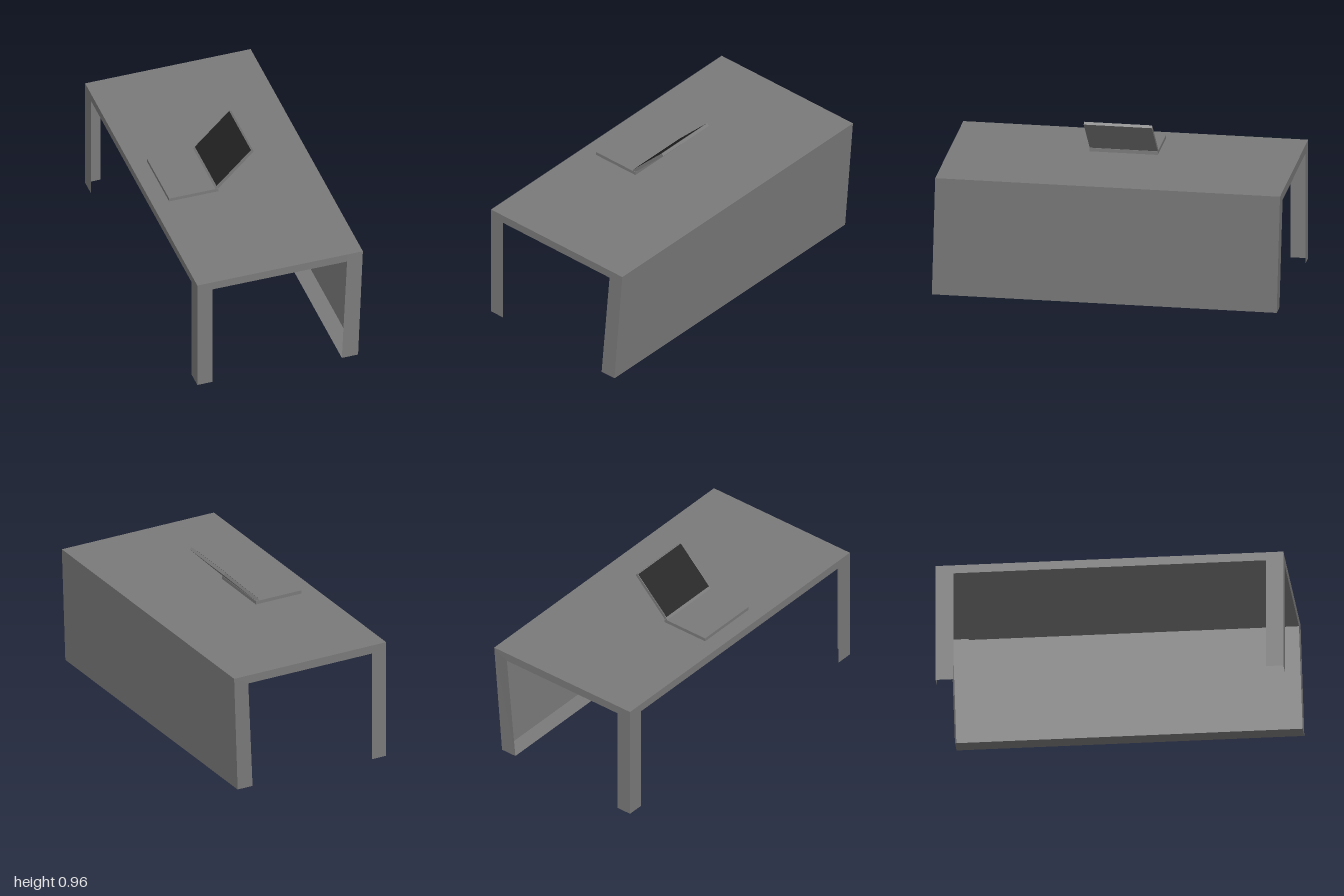
import * as THREE from 'three';

const grey = new THREE.MeshStandardMaterial({ color: 0x7a7a7a, flatShading: true, side: THREE.DoubleSide });
const dark = new THREE.MeshStandardMaterial({ color: 0x232323, flatShading: true, side: THREE.DoubleSide });

// A sheet part made of flat convex polygons, each a loop of [x, y, z] corners
function sheet(name, polygons) {
  const pos = [];
  for (const p of polygons)
    for (let i = 1; i < p.length - 1; i++) pos.push(...p[0], ...p[i], ...p[i + 1]);
  const g = new THREE.BufferGeometry();
  g.setAttribute('position', new THREE.Float32BufferAttribute(pos, 3));
  g.computeVertexNormals();
  const m = new THREE.Mesh(g, grey);
  m.name = name;
  return m;
}

function box(name, w, h, d, x, y, z, material = grey) {
  const m = new THREE.Mesh(new THREE.BoxGeometry(w, h, d), material);
  m.position.set(x, y, z);
  m.name = name;
  return m;
}

// Horizontal rectangle, seen from above (up) or from below
function flat(x0, x1, z0, z1, y, up) {
  const p = [[x0, y, z0], [x0, y, z1], [x1, y, z1], [x1, y, z0]];
  return up ? p : p.reverse();
}

// Upright rectangle across x, facing +z or -z
function across(x0, x1, y0, y1, z, s) {
  const p = [[x0, y0, z], [x1, y0, z], [x1, y1, z], [x0, y1, z]];
  return s > 0 ? p : p.reverse();
}

// Upright rectangle along z, facing -x
const along = (z0, z1, y0, y1, x) => [[x, y0, z0], [x, y0, z1], [x, y1, z1], [x, y1, z0]];

export function createModel() {
  const model = new THREE.Group();
  const X0 = -0.494, X1 = 0.494, Z0 = -1, Z1 = 0.975;
  const xi = -0.403, xp = 0.402, zi0 = -0.9, zi1 = 0.875;
  const top = 0.71, under = 0.66;

  // Table top with its rim; the underside is open along the back, above the legs and the panel
  model.add(sheet('tableTop', [
    flat(X0, X1, Z0, Z1, top, true),
    flat(xi, xp, zi0, Z1, under, false),
    flat(X0, xi, zi0, zi1, under, false),
    across(X0, xp, under, top, Z1, 1),
    across(X0, xp, under, top, Z0, -1),
    along(Z0, Z1, under, top, X0),
  ]));

  // Two angle-shaped legs on the right side
  for (const [name, z, zi, s] of [['frontLeg', Z1, zi1, 1], ['backLeg', Z0, zi0, -1]])
    model.add(sheet(name, [
      across(X0, xi, 0, under, z, s),
      along(Math.min(z, zi), Math.max(z, zi), 0, under, X0),
    ]));

  // Leaning side panel: outer face, foot and both ends, open towards the inside
  const dz = 0.025, xo = 0.457, xf = 0.36;
  const end = z => [[xp, top, z], [xp, under, z], [xf, 0, z + dz], [xo, 0, z + dz], [X1, top, z]];
  model.add(sheet('sidePanel', [
    [[X1, top, Z1], [xo, 0, Z1 + dz], [xo, 0, Z0 + dz], [X1, top, Z0]],
    flat(xf, xo, Z0 + dz, Z1 + dz, 0, false),
    end(Z1),
    end(Z0).reverse(),
  ]));

  // Open laptop
  const laptop = new THREE.Group();
  laptop.name = 'laptop';
  const zc = -0.008, depth = 0.39;
  laptop.add(box('laptopBase', 0.295, 0.02, depth, -0.2475, top + 0.01, zc));
  const lid = new THREE.Group();
  lid.name = 'laptopLid';
  lid.position.set(-0.114, 0.731, zc);
  lid.rotation.z = Math.PI / 4;
  lid.add(box('lidShell', 0.298, 0.018, depth, 0.159, 0, 0));
  lid.add(box('hinge', 0.014, 0.008, depth, 0.005, 0.002, 0));
  lid.add(box('screen', 0.29, 0.001, depth - 0.008, 0.159, 0.009, 0, dark));
  laptop.add(lid);
  model.add(laptop);

  return model;
}
